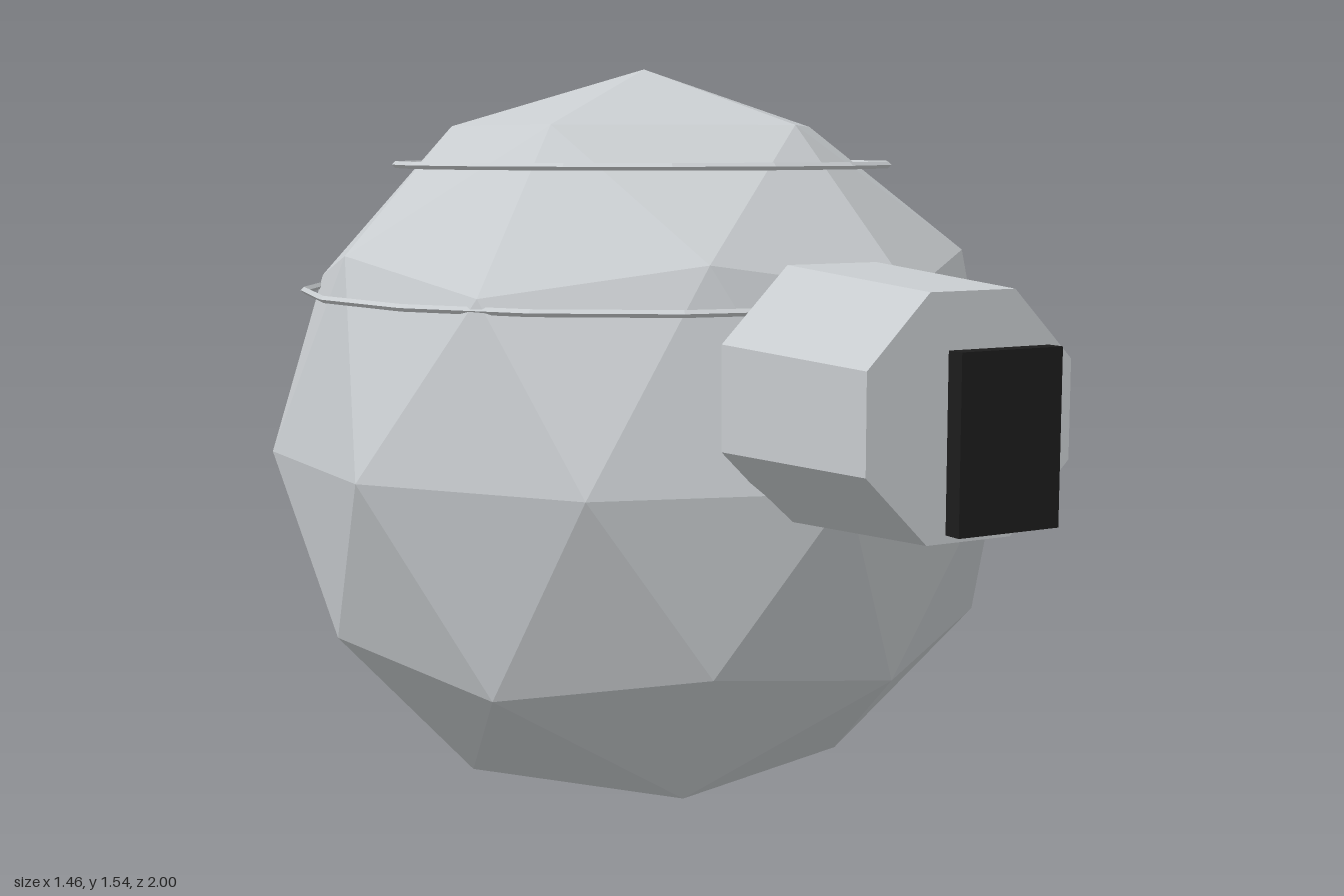
import * as THREE from 'three';

const CENTER_Y = 0.77;
const CENTER_Z = -0.23;
const RADIUS = 0.77;

function material(name, color) {
  const m = new THREE.MeshStandardMaterial({ color, flatShading: true });
  m.name = name;
  return m;
}

export function createModel() {
  const group = new THREE.Group();
  const grey = material('hull grey', 0xc8cccf);
  const black = material('lens black', 0x1c1c1c);

  function add(name, geometry, mat, x, y, z) {
    const mesh = new THREE.Mesh(geometry, mat);
    mesh.name = name;
    mesh.position.set(x, y, z);
    group.add(mesh);
  }

  // Faceted ball, turned so one corner of the icosahedron points straight up
  const ball = new THREE.IcosahedronGeometry(RADIUS, 1);
  ball.rotateZ(-Math.atan(2 / (1 + Math.sqrt(5))));
  add('body', ball, grey, 0, CENTER_Y, CENTER_Z);

  // Thin sixteen-sided hoops around the upper half
  for (const [name, y, r] of [['upperRing', 1.347, 0.51], ['lowerRing', 1.093, 0.7]]) {
    const ring = new THREE.TorusGeometry(r, 0.007, 4, 16);
    ring.rotateX(Math.PI / 2);
    add(name, ring, grey, 0, y, CENTER_Z);
  }

  // Tapered octagonal barrel on the front, flat side up
  const barrel = new THREE.CylinderGeometry(0.223, 0.248, 0.414, 8);
  barrel.rotateY(Math.PI / 8);
  barrel.rotateX(Math.PI / 2);
  add('barrel', barrel, grey, 0, 0.948, 0.687);

  // Dark plate floating ahead of the barrel
  add('frontPlate', new THREE.BoxGeometry(0.2, 0.295, 0.035), black, 0, 0.92, 0.9825);

  return group;
}
